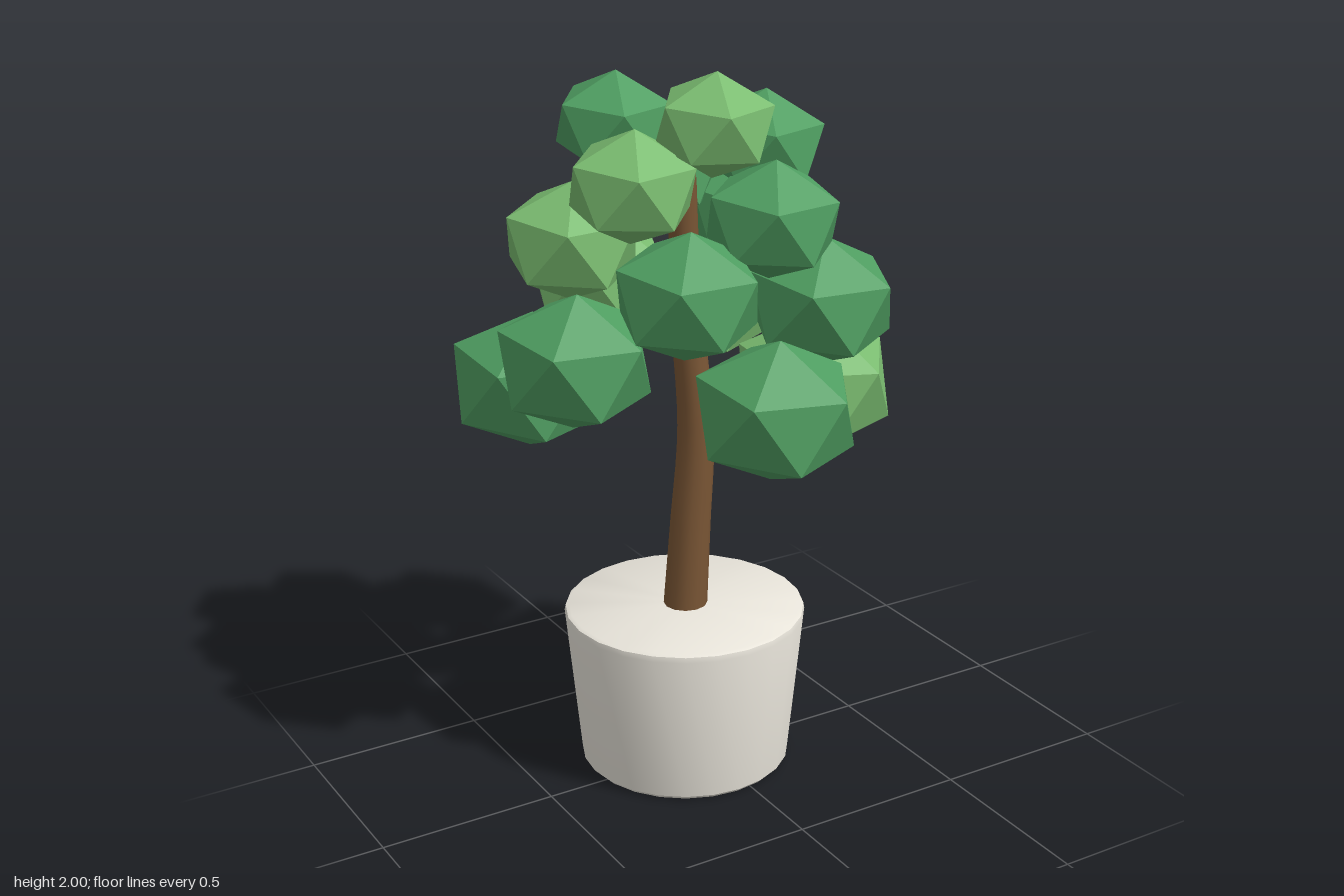
import * as THREE from 'three';
import { toCreasedNormals } from 'three/addons/utils/BufferGeometryUtils.js';

const material = (color, flatShading = false) => new THREE.MeshStandardMaterial({ color, flatShading });

// x, y, z of each leaf clump, from the lowest to the highest
const CLUMPS = [
  [0.385, 1.045, -0.05], [-0.36, 1.1, -0.33], [-0.005, 1.155, 0.35], [0.21, 1.235, -0.36],
  [-0.41, 1.265, 0.03], [0.265, 1.352, 0.15], [-0.13, 1.365, -0.36], [-0.19, 1.455, 0.225],
  [0.25, 1.525, -0.155], [-0.31, 1.525, -0.165], [0.08, 1.61, 0.195], [0.04, 1.66, -0.3],
  [-0.258, 1.712, 0.07], [0.175, 1.76, 0], [-0.155, 1.81, -0.21], [-0.06, 1.86, 0.14],
];

function addMesh(parent, name, geometry, mat) {
  const mesh = new THREE.Mesh(geometry, mat);
  mesh.name = name;
  parent.add(mesh);
  return mesh;
}

// Tube whose radius shrinks evenly from r0 to r1 along the curve
function taperedTube(curve, steps, sides, r0, r1) {
  const geometry = new THREE.TubeGeometry(curve, steps, 1, sides);
  const pos = geometry.attributes.position;
  const v = new THREE.Vector3();
  for (let i = 0; i < pos.count; i++) {
    const t = Math.floor(i / (sides + 1)) / steps;
    const centre = curve.getPointAt(t);
    v.fromBufferAttribute(pos, i).sub(centre).multiplyScalar(r0 + (r1 - r0) * t).add(centre);
    pos.setXYZ(i, v.x, v.y, v.z);
  }
  return geometry;
}

export function createModel() {
  const model = new THREE.Group();
  model.name = 'pottedTree';

  // Closed, tapered pot with softened rims
  const profile = [[0, 0], [0.283, 0], [0.295, 0.012], [0.337, 0.445], [0.334, 0.46], [0.324, 0.465], [0, 0.465]]
    .map(([r, y]) => new THREE.Vector2(r, y));
  const pot = addMesh(model, 'pot', toCreasedNormals(new THREE.LatheGeometry(profile, 24), 0.6), material(0xe8e4da));
  pot.position.set(-0.045, 0, -0.042);

  // Bent trunk with a rounded tip
  const bark = material(0x7a5635);
  const path = new THREE.CatmullRomCurve3([
    [-0.045, 0.42, -0.042], [-0.025, 0.7, -0.043], [-0.005, 0.98, -0.046],
    [-0.025, 1.35, -0.065], [-0.038, 1.68, -0.055],
  ].map((p) => new THREE.Vector3(...p)));
  addMesh(model, 'trunk', taperedTube(path, 20, 12, 0.062, 0.036), bark);
  const tip = addMesh(model, 'trunkTip', new THREE.SphereGeometry(0.036, 12, 8), bark);
  tip.position.copy(path.getPointAt(1));

  // Faceted, slightly flattened leaf clumps, smaller towards the top; every third one is the lighter green
  const foliage = new THREE.Group();
  foliage.name = 'foliage';
  model.add(foliage);
  const darkLeaf = material(0x4f9e61, true);
  const lightLeaf = material(0x7abc70, true);
  const clumpShape = new THREE.IcosahedronGeometry(1, 0).rotateZ(-0.5536).scale(1, 0.84, 1);
  CLUMPS.forEach(([x, y, z], i) => {
    const clump = addMesh(foliage, 'leafClump' + (i + 1), clumpShape, i % 3 ? darkLeaf : lightLeaf);
    clump.position.set(x, y, z);
    clump.rotation.set(0.1, i * 1.3, 0);
    clump.scale.setScalar(0.243 - 0.0052 * i);
  });

  return model;
}
